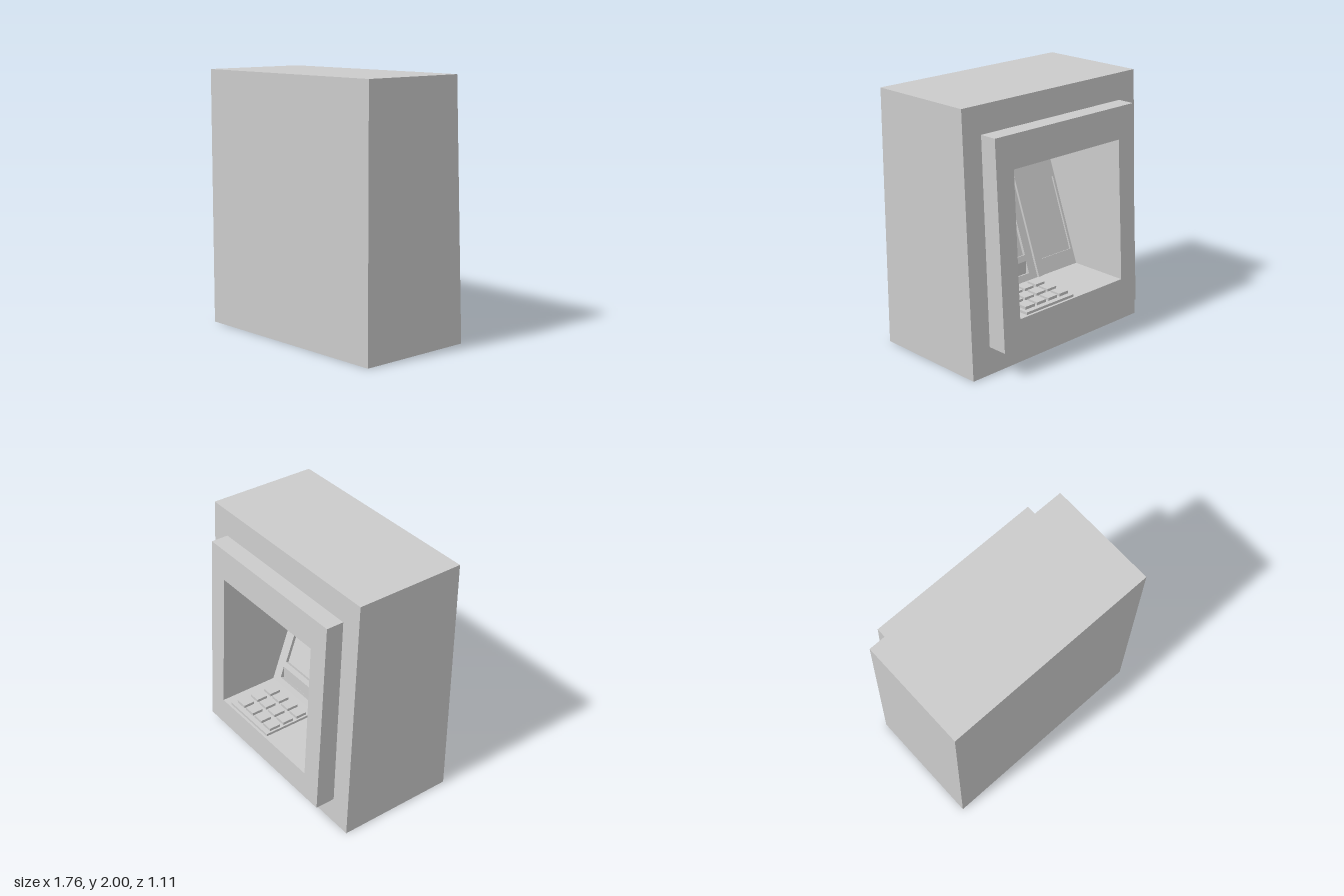
import * as THREE from 'three';

const material = new THREE.MeshStandardMaterial({ color: 0xcccccc, flatShading: true, side: THREE.DoubleSide });

function add(parent, name, geometry, x = 0, y = 0, z = 0) {
  const mesh = new THREE.Mesh(geometry, material);
  mesh.name = name;
  mesh.position.set(x, y, z);
  parent.add(mesh);
  return mesh;
}

// Box given by its limits on each axis
function block(parent, name, x0, x1, y0, y1, z0, z1) {
  return add(parent, name, new THREE.BoxGeometry(x1 - x0, y1 - y0, z1 - z0),
    (x0 + x1) / 2, (y0 + y1) / 2, (z0 + z1) / 2);
}

function outline(Type, [x0, x1, y0, y1]) {
  return new Type([[x0, y0], [x1, y0], [x1, y1], [x0, y1]].map(p => new THREE.Vector2(...p)));
}

// Rectangular plate with rectangular holes; front(y) gives the depth of its face
function plate(rect, holes, back, front) {
  const shape = outline(THREE.Shape, rect);
  for (const h of holes) shape.holes.push(outline(THREE.Path, h));
  const geometry = new THREE.ExtrudeGeometry(shape, { depth: 1, bevelEnabled: false });
  const p = geometry.attributes.position;
  for (let i = 0; i < p.count; i++) p.setZ(i, p.getZ(i) > 0.5 ? front(p.getY(i)) : back);
  geometry.computeVertexNormals();
  return geometry;
}

export function createModel() {
  const root = new THREE.Group();
  root.name = 'cashMachine';
  // Built facing +z, then turned so the working face points to -z
  root.rotation.y = Math.PI;

  // Cabinet with leaning face, and the raised surround around the recess
  const opening = [-0.545, 0.545, 0.43, 1.54];
  block(root, 'cabinetBack', -0.88, 0.88, 0, 2, -0.555, -0.4);
  add(root, 'cabinet', plate([-0.88, 0.88, 0, 2], [opening], -0.4, y => 0.405 - 0.0435 * y));
  add(root, 'surround', plate([-0.71, 0.71, 0.215, 1.79], [opening], 0.25, y => 0.567 - 0.057 * y));

  // Sloping console at the back of the recess
  const slope = Math.atan(0.369);
  const panel = new THREE.Group();
  panel.name = 'console';
  panel.position.set(0, 0.43, 0.06);
  panel.rotation.x = -slope;
  root.add(panel);

  const screen = [-0.457, 0.04, 0.197, 1.06];
  const tray = [-0.465, 0.035, 0.053, 0.149];
  const hatch = [0.2, 0.525, 0.125, 0.72];
  add(panel, 'consolePlate', plate([-0.545, 0.545, 0, 1.183], [screen, tray, hatch], -0.035, () => 0));
  block(panel, 'screen', screen[0], screen[1], screen[2], screen[3], -0.04, -0.025);
  block(panel, 'hatch', hatch[0], hatch[1], hatch[2], hatch[3], -0.04, -0.015);
  block(panel, 'divider', 0.11, 0.145, 0, 1.183, -0.01, 0.02);

  // Upright back of the cash tray
  const trayHeight = tray[3] - tray[2];
  const flap = add(panel, 'trayBack', new THREE.PlaneGeometry(0.5, trayHeight / Math.cos(slope)),
    -0.215, (tray[2] + tray[3]) / 2, -trayHeight * Math.tan(slope) / 2);
  flap.rotation.x = slope;
  block(panel, 'trayFloor', tray[0], tray[1], tray[2] - 0.005, tray[2], -0.035, 0);

  // Card reader: raised lip with a slit
  add(panel, 'cardReader', plate([0.2, 0.525, 0.9, 0.97], [[0.225, 0.5, 0.925, 0.945]], 0, () => 0.025));

  // Keypad on the floor of the recess
  block(root, 'keypad', -0.46, 0.03, 0.42, 0.45, 0.1, 0.523);
  for (let row = 0; row < 3; row++) {
    for (let col = 0; col < 4; col++) {
      add(root, 'key', new THREE.BoxGeometry(0.093, 0.025, 0.093),
        -0.385 + col * 0.1175, 0.46, 0.185 + row * 0.125);
    }
  }

  const model = new THREE.Group();
  model.add(root);
  return model;
}
